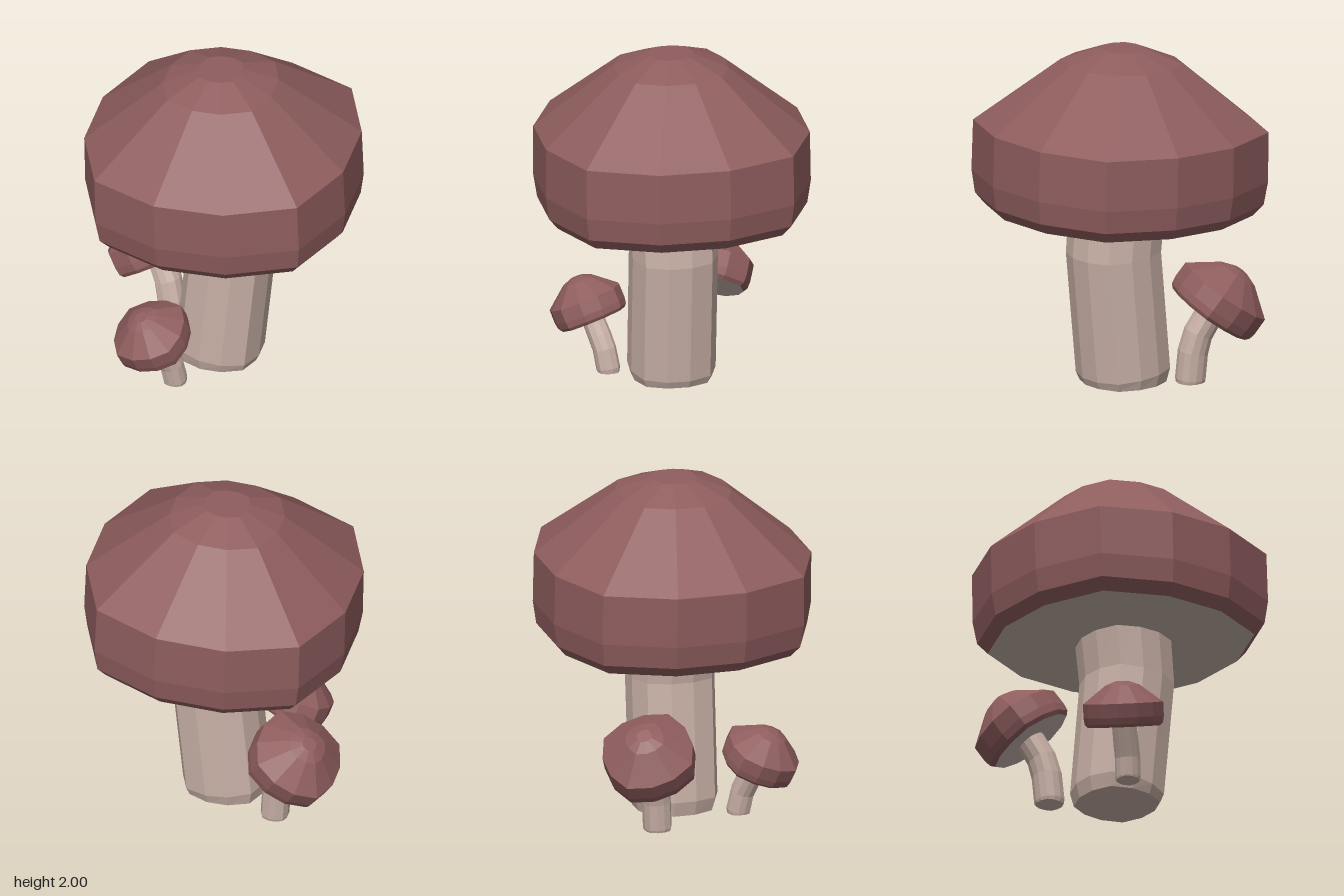
import * as THREE from 'three';

const SIDES = 12;
const material = (color) => new THREE.MeshStandardMaterial({ color, flatShading: true });

// Slightly squarish ring: every third corner sticks out a little.
function ring(center, radius, turn = new THREE.Quaternion()) {
  return Array.from({ length: SIDES }, (_, i) => {
    const a = THREE.MathUtils.degToRad(14 + (i * 360) / SIDES);
    const r = radius * (i % 3 === 0 ? 1 : 0.935);
    return new THREE.Vector3(Math.cos(a) * r, 0, Math.sin(a) * r).applyQuaternion(turn).add(center);
  });
}

// Faceted skin over a stack of rings, with optional end faces.
function loft(rings, closeBottom, closeTop) {
  const pts = [];
  const middle = (r) => r.reduce((s, p) => s.add(p), new THREE.Vector3()).divideScalar(r.length);
  const last = rings[rings.length - 1];
  for (let i = 0; i < SIDES; i++) {
    const j = (i + 1) % SIDES;
    for (let k = 0; k < rings.length - 1; k++) {
      const a = rings[k], b = rings[k + 1];
      pts.push(a[i], b[i], a[j], a[j], b[i], b[j]);
    }
    if (closeBottom) pts.push(middle(rings[0]), rings[0][i], rings[0][j]);
    if (closeTop) pts.push(middle(last), last[j], last[i]);
  }
  const geometry = new THREE.BufferGeometry().setFromPoints(pts);
  geometry.computeVertexNormals();
  return geometry;
}

// Cap outline as [radius, height above the underside].
const CAP = [[0.77, 0], [0.83, 0.065], [0.853, 0.2], [0.85, 0.495], [0.355, 0.875], [0.14, 0.955]];

function makeMushroom(name, { cap, stem }, mats) {
  const group = new THREE.Group();
  group.name = name;

  // cap and its flat underside, tilted together
  const head = new THREE.Group();
  head.name = 'head';
  head.position.set(...cap.at);
  head.rotation.set(cap.tiltX, 0, cap.tiltZ);
  head.scale.setScalar(cap.scale);
  const rings = CAP.map(([r, y]) => ring(new THREE.Vector3(0, y, 0), r));
  const dome = new THREE.Mesh(loft(rings, false, true), mats.cap);
  dome.name = 'cap';
  const underside = new THREE.Mesh(loft([rings[0]], true, false), mats.underside);
  underside.name = 'capUnderside';
  head.add(dome, underside);

  // bent stem: rings square to the path
  const up = new THREE.Vector3(0, 1, 0);
  const path = stem.map(([x, y, z]) => new THREE.Vector3(x, y, z));
  const stemRings = path.map((p, i) => {
    const dir = i === 0 ? up.clone()
      : path[Math.min(i + 1, path.length - 1)].clone().sub(path[i - 1]).normalize();
    return ring(p, stem[i][3], new THREE.Quaternion().setFromUnitVectors(up, dir));
  });
  const stalk = new THREE.Mesh(loft(stemRings, true, true), mats.stem);
  stalk.name = 'stem';

  group.add(head, stalk);
  return group;
}

export function createModel() {
  const mats = {
    cap: material(0x8f5d5e),
    stem: material(0xc8b0a6),
    underside: material(0xc2b2a8),
  };
  const model = new THREE.Group();
  model.name = 'mushroomCluster';
  model.add(
    makeMushroom('largeMushroom', {
      cap: { at: [0.01, 1.045, -0.005], tiltX: 0.018, tiltZ: 0.024, scale: 1 },
      // stem points: x, y, z, radius
      stem: [[-0.015, 0.025, 0.01, 0.25], [-0.015, 0.09, 0.01, 0.272],
        [0.045, 0.8, -0.025, 0.274], [0.018, 1.1, 0, 0.277]],
    }, mats),
    makeMushroom('sideMushroom', {
      cap: { at: [-0.51, 0.4, 0.005], tiltX: 0, tiltZ: 0.63, scale: 0.33 },
      stem: [[-0.405, 0, 0.012, 0.083], [-0.405, 0.02, 0.012, 0.088],
        [-0.42, 0.18, 0.01, 0.088], [-0.45, 0.29, 0.008, 0.086], [-0.525, 0.42, 0.005, 0.083]],
    }, mats),
    makeMushroom('frontMushroom', {
      cap: { at: [-0.03, 0.29, 0.495], tiltX: 0.45, tiltZ: 0.09, scale: 0.273 },
      stem: [[0.005, 0, 0.39, 0.07], [0.005, 0.02, 0.39, 0.074],
        [0, 0.13, 0.415, 0.073], [-0.012, 0.2, 0.448, 0.073], [-0.032, 0.31, 0.505, 0.07]],
    }, mats),
  );
  return model;
}
